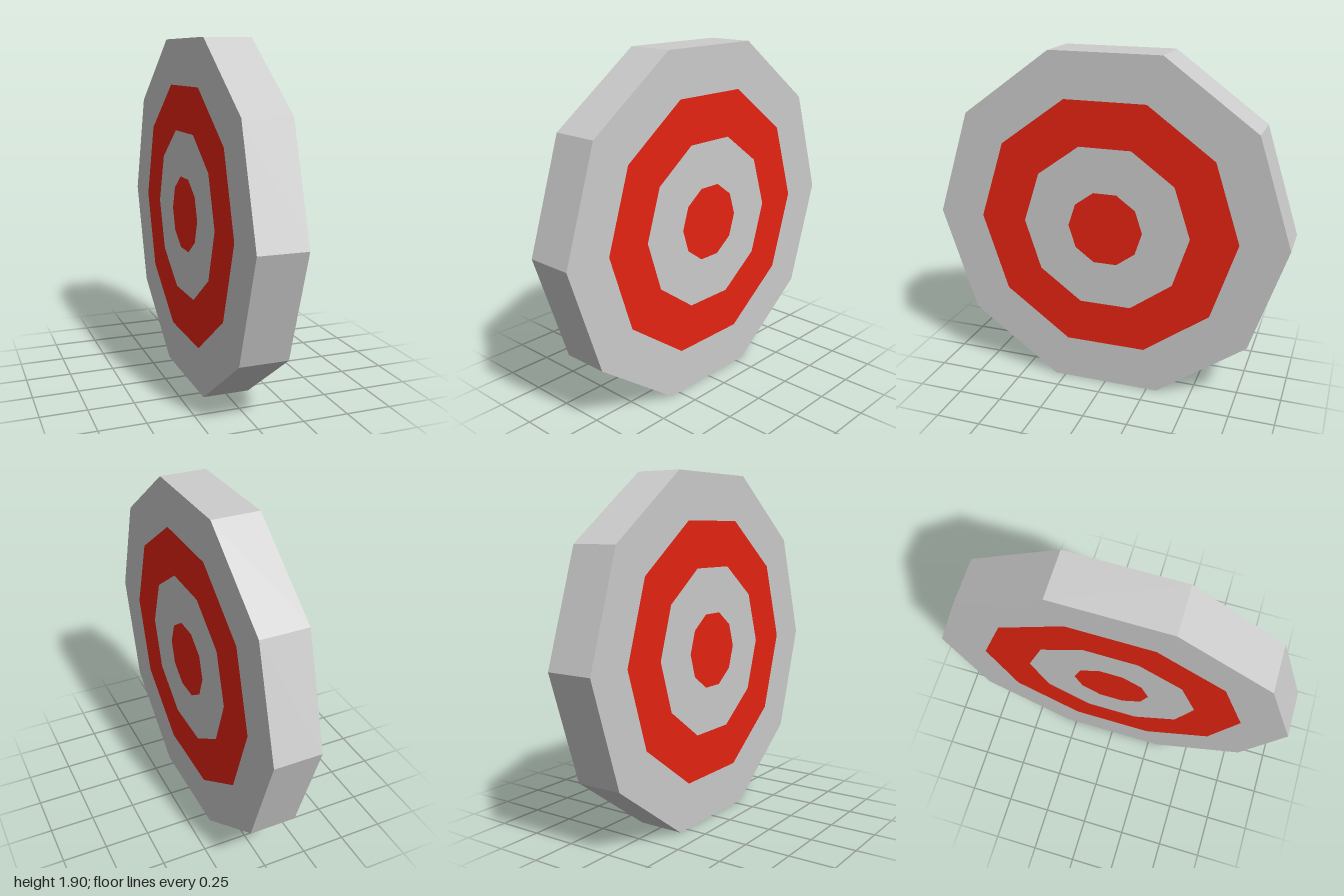
import * as THREE from 'three';

const SIDES = 10;
const THICKNESS = 0.26;
const RADII = [1, 0.737, 0.475, 0.212, 0]; // band edges, outside to centre
const BANDS = ['outerBand', 'outerRedRing', 'innerBand', 'bullseye'];

export function createModel() {
  const model = new THREE.Group();
  model.name = 'target';
  const grey = new THREE.MeshStandardMaterial({ color: 0xcccccc, flatShading: true });
  const red = new THREE.MeshStandardMaterial({ color: 0xe62412, flatShading: true });

  const disc = new THREE.Group();
  disc.name = 'disc';
  disc.position.y = Math.cos(Math.PI / SIDES); // rests on a flat side
  model.add(disc);

  // Ten-sided rim, its axis along x
  const rimGeometry = new THREE.CylinderGeometry(1, 1, THICKNESS, SIDES, 1, true);
  rimGeometry.rotateZ(Math.PI / 2);
  const rim = new THREE.Mesh(rimGeometry, grey);
  rim.name = 'rim';
  disc.add(rim);

  // Concentric bands, flush on both faces
  for (const side of [1, -1]) {
    const face = new THREE.Group();
    face.name = side > 0 ? 'leftFace' : 'rightFace';
    face.position.x = side * THICKNESS / 2;
    face.rotation.y = side * Math.PI / 2;
    BANDS.forEach((name, i) => {
      const geometry = RADII[i + 1] > 0
        ? new THREE.RingGeometry(RADII[i + 1], RADII[i], SIDES, 1)
        : new THREE.CircleGeometry(RADII[i], SIDES);
      const band = new THREE.Mesh(geometry, i % 2 ? red : grey);
      band.name = name;
      face.add(band);
    });
    disc.add(face);
  }
  return model;
}
